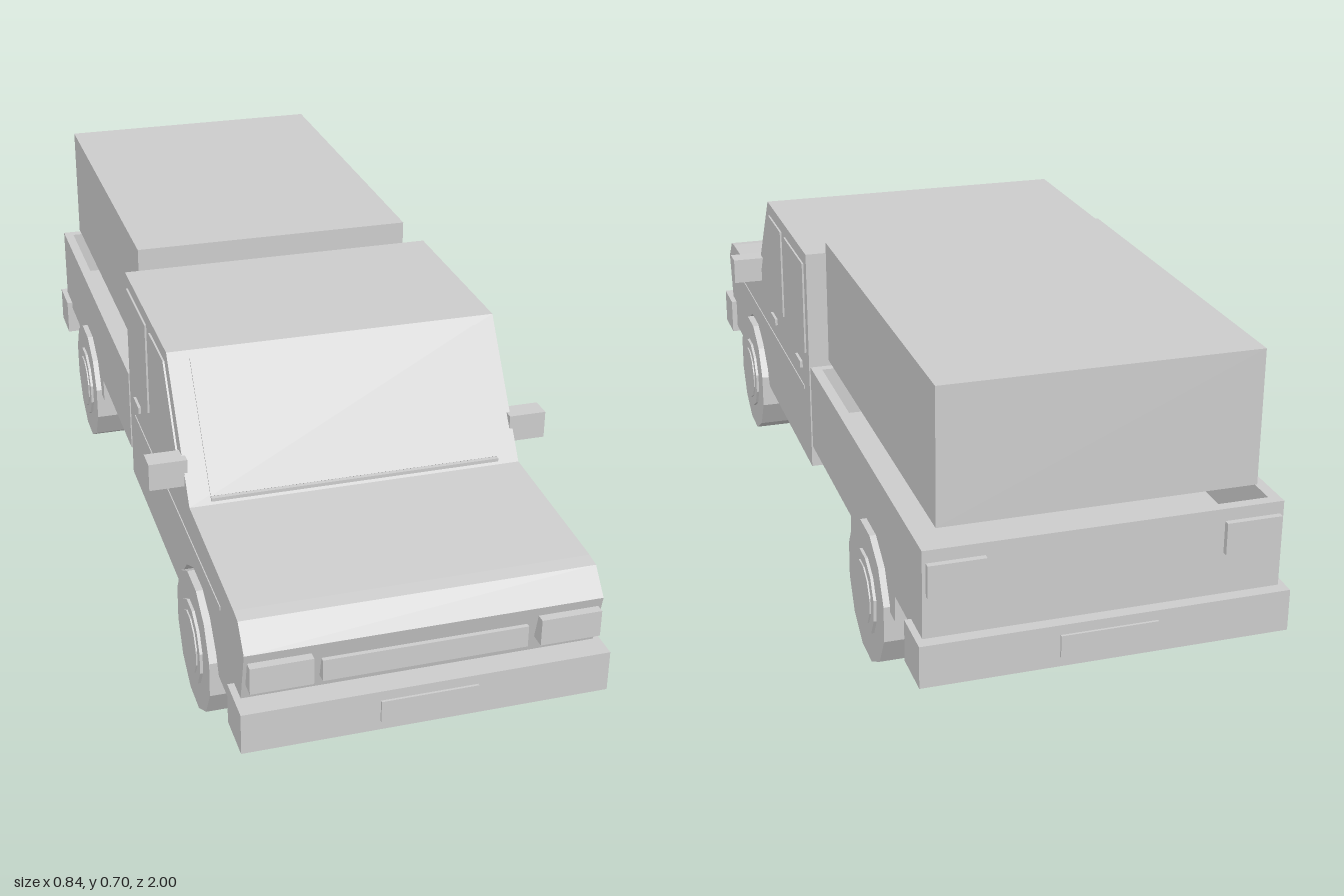
import * as THREE from 'three';

export function createModel() {
  const truck = new THREE.Group();
  truck.name = 'pickupTruck';
  const grey = new THREE.MeshStandardMaterial({ color: 0xcccccc });
  grey.name = 'light grey';

  const add = (name, geometry) => {
    const mesh = new THREE.Mesh(geometry, grey);
    mesh.name = name;
    truck.add(mesh);
    return mesh;
  };
  // Box given by its limits on each axis
  const box = (name, x0, x1, y0, y1, z0, z1) => {
    const mesh = add(name, new THREE.BoxGeometry(x1 - x0, y1 - y0, z1 - z0));
    mesh.position.set((x0 + x1) / 2, (y0 + y1) / 2, (z0 + z1) / 2);
    return mesh;
  };
  // Side profile in [z, y] pairs, extruded across x
  const profile = (name, points, x0, x1) => {
    const shape = new THREE.Shape(points.map(([z, y]) => new THREE.Vector2(z, y)));
    const geometry = new THREE.ExtrudeGeometry(shape, { depth: x1 - x0, bevelEnabled: false });
    geometry.rotateY(-Math.PI / 2);
    geometry.translate(x1, 0, 0);
    return add(name, geometry);
  };

  const W = 0.347;

  // Cab and bonnet, with the front wheel arch
  profile('cab', [
    [-0.055, 0.165], [0.44, 0.165], [0.46, 0.205], [0.51, 0.255], [0.57, 0.285],
    [0.65, 0.285], [0.71, 0.255], [0.755, 0.205], [0.775, 0.165], [0.93, 0.165],
    [0.945, 0.235], [0.972, 0.345], [0.93, 0.392], [0.9, 0.396], [0.55, 0.41],
    [0.37, 0.665], [-0.055, 0.665],
  ], -W, W);

  // Load bed: lower body with rear arch, then the walls
  profile('bedBase', [
    [-0.07, 0.22], [-0.07, 0.3], [-0.97, 0.3], [-0.97, 0.22], [-0.78, 0.22], [-0.78, 0.165],
    [-0.735, 0.165], [-0.7, 0.23], [-0.64, 0.27], [-0.56, 0.27], [-0.5, 0.23],
    [-0.465, 0.165], [-0.43, 0.165], [-0.43, 0.22],
  ].reverse(), -W, W);
  for (const s of [-1, 1]) {
    const x = s * (W - 0.011);
    box('bedSide', x - 0.011, x + 0.011, 0.3, 0.41, -0.97, -0.07);
  }
  box('bedFront', -0.325, 0.325, 0.3, 0.41, -0.09, -0.07);
  box('tailgate', -0.325, 0.325, 0.3, 0.41, -0.97, -0.948);
  box('canopy', -0.31, 0.31, 0.43, 0.7, -0.93, -0.09);

  // Windscreen plate lying on the slope
  const slope = Math.atan2(0.18, 0.255);
  const screen = add('windscreen', new THREE.BoxGeometry(0.604, 0.277, 0.006));
  screen.position.set(0, 0.537, 0.4605);
  screen.rotation.x = -slope;
  box('wiperStrip', -0.302, 0.302, 0.417, 0.424, 0.535, 0.55);
  box('rearWindow', -0.28, 0.28, 0.445, 0.62, -0.06, -0.054);

  // Nose and tail fittings
  box('grille', -0.2, 0.2, 0.263, 0.308, 0.94, 0.972);
  box('frontBumper', -0.36, 0.36, 0.15, 0.235, 0.897, 0.995);
  box('rearBumper', -0.36, 0.36, 0.15, 0.235, -0.995, -0.895);
  box('frontPlate', -0.095, 0.095, 0.17, 0.215, 0.994, 1);
  box('rearPlate', -0.095, 0.095, 0.17, 0.215, -1, -0.994);

  for (const s of [-1, 1]) {
    // Box whose x limits are mirrored to the chosen side
    const side = (name, x0, x1, ...rest) =>
      box(name, Math.min(s * x0, s * x1), Math.max(s * x0, s * x1), ...rest);
    side('headlight', 0.22, 0.34, 0.27, 0.325, 0.94, 0.985);
    side('tailLight', 0.23, 0.34, 0.32, 0.385, -0.982, -0.968);
    side('mirror', 0.34, 0.418, 0.437, 0.495, 0.465, 0.51);
    side('rearDoorHandle', 0.345, 0.353, 0.378, 0.393, 0.015, 0.07);
    side('frontDoorHandle', 0.345, 0.353, 0.378, 0.393, 0.3, 0.355);
    side('sideTrim', 0.345, 0.349, 0.332, 0.34, 0, 0.8);
    side('rearSideWindow', 0.345, 0.351, 0.43, 0.637, -0.03, 0.17);
    profile('frontSideWindow', [[0.21, 0.43], [0.49, 0.43], [0.35, 0.637], [0.21, 0.637]],
      s > 0 ? 0.345 : -0.351, s > 0 ? 0.351 : -0.345);

    // Twelve-sided wheels with a flat at the bottom, and stepped hubs
    for (const z of [0.61, -0.604]) {
      const disc = (name, radius, x0, x1) => {
        const geometry = new THREE.CylinderGeometry(radius, radius, x1 - x0, 12).toNonIndexed();
        geometry.rotateY(Math.PI / 12);
        geometry.rotateZ(Math.PI / 2);
        geometry.computeVertexNormals();
        add(name, geometry).position.set(s * (x0 + x1) / 2, 0.14, z);
      };
      disc('wheel', 0.145, 0.27, 0.36);
      disc('wheelRim', 0.087, 0.355, 0.366);
      disc('hubcap', 0.065, 0.36, 0.369);
    }
  }

  // Axle beams
  for (const z of [0.61, -0.604]) box('axle', -0.28, 0.28, 0.12, 0.17, z - 0.045, z + 0.045);

  return truck;
}
